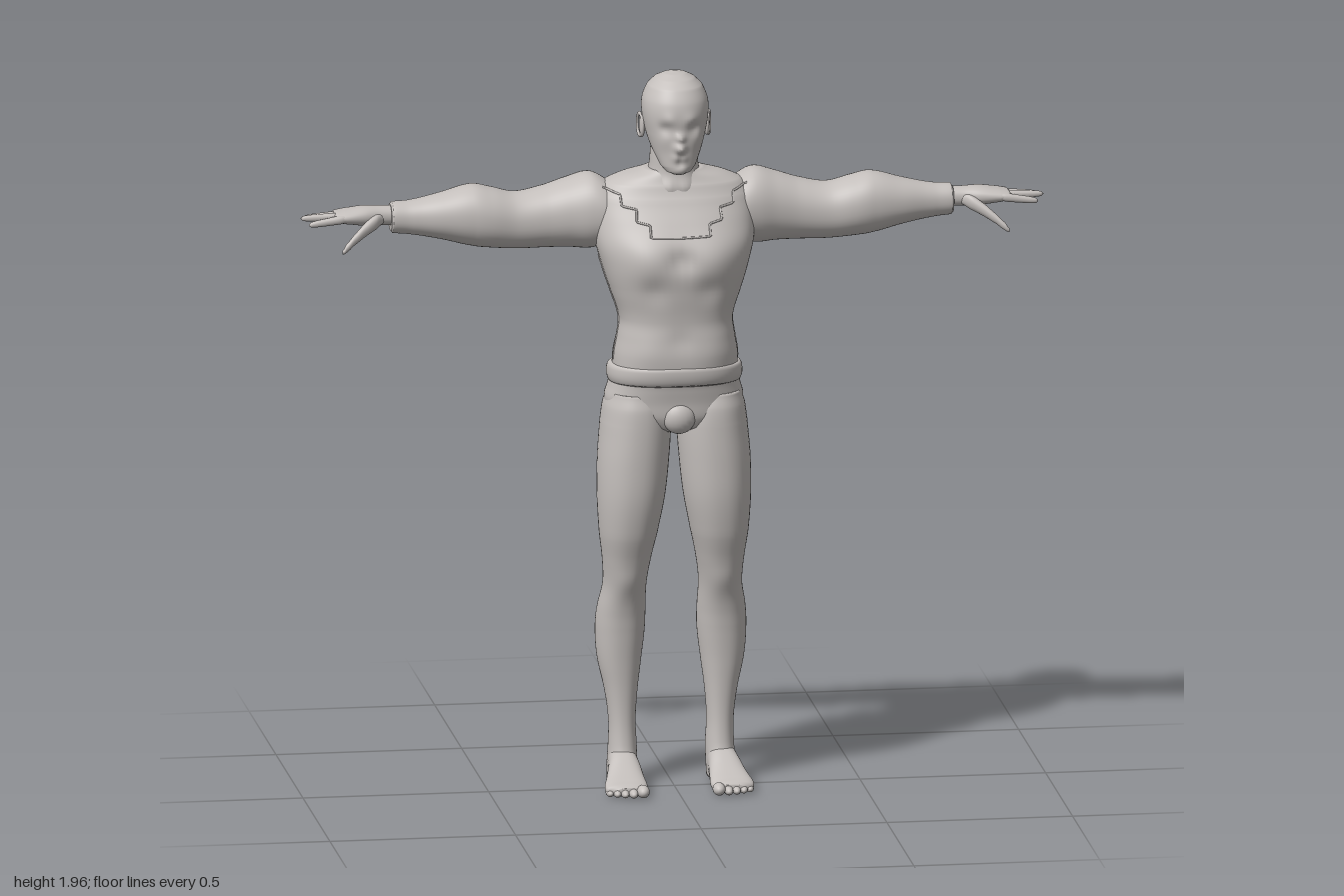
import * as THREE from 'three';

const clay = new THREE.MeshStandardMaterial({ color: 0xc4bfbc });
clay.name = 'warm grey';

// Cubic blend through neighbouring rows, one number at a time
function blend(p, q, r, s, t) {
  return q + 0.5 * t * (r - p + t * (2 * p - 5 * q + 4 * r - s + t * (3 * (q - r) + s - p)));
}

// Smooth skin over rows [s, aMin, aMax, bMin, bMax] along an axis; n squares the section
function loft(rows, axis, { n = 2.2, seg = 48, sub = 6, bumps = [] } = {}) {
  const sorted = [...rows].sort((u, v) => u[0] - v[0]);
  const row = i => sorted[Math.min(Math.max(i, 0), sorted.length - 1)];
  const place = { x: (s, a, b) => [s, a, b], y: (s, a, b) => [a, s, b], z: (s, a, b) => [a, b, s] }[axis];
  const pos = [], index = [], rings = [];
  for (let i = 0; i < sorted.length - 1; i++) {
    for (let k = 0; k < sub; k++) {
      const t = k / sub;
      rings.push(row(i).map((q, c) => c === 0
        ? q + (row(i + 1)[0] - q) * t
        : blend(row(i - 1)[c], q, row(i + 1)[c], row(i + 2)[c], t)));
    }
  }
  rings.push(row(sorted.length));
  const bend = v => Math.sign(v) * Math.abs(v) ** (2 / n);
  for (const [s, a0, a1, b0, b1] of rings) {
    for (let j = 0; j < seg; j++) {
      const w = j / seg * Math.PI * 2;
      pos.push(...place(s, (a0 + a1) / 2 + (a1 - a0) / 2 * bend(Math.cos(w)),
        (b0 + b1) / 2 + (b1 - b0) / 2 * bend(Math.sin(w))));
    }
  }
  const tri = (a, b, c) => axis === 'y' ? index.push(a, c, b) : index.push(a, b, c);
  const last = rings.length - 1, tip = rings.length * seg;
  for (const r of [rings[0], rings[last]]) pos.push(...place(r[0], (r[1] + r[2]) / 2, (r[3] + r[4]) / 2));
  for (let j = 0; j < seg; j++) {
    const k = (j + 1) % seg;
    for (let i = 0; i < last; i++) {
      const p = i * seg, q = p + seg;
      tri(p + j, p + k, q + k);
      tri(p + j, q + k, q + j);
    }
    tri(tip, k, j);
    tri(tip + 1, last * seg + j, last * seg + k);
  }
  // Muscles and facial features: [x, y, z, radius, push along z], same on both sides
  for (let i = 0; i < pos.length; i += 3) {
    let push = 0;
    for (const [x, y, z, r, d] of bumps) {
      const d2 = (Math.abs(pos[i]) - x) ** 2 + (pos[i + 1] - y) ** 2 + (pos[i + 2] - z) ** 2;
      push += d * Math.exp(-d2 / (r * r));
    }
    pos[i + 2] += push;
  }
  const geo = new THREE.BufferGeometry();
  geo.setAttribute('position', new THREE.Float32BufferAttribute(pos, 3));
  geo.setIndex(index);
  geo.computeVertexNormals();
  return geo;
}

function mirror(geo) {
  const g = geo.clone().scale(-1, 1, 1);
  const ix = g.index.array;
  for (let i = 0; i < ix.length; i += 3) [ix[i], ix[i + 1]] = [ix[i + 1], ix[i]];
  g.computeVertexNormals();
  return g;
}

function ball(x, y, z, rx, ry, rz) {
  return new THREE.SphereGeometry(1, 20, 14).scale(rx, ry, rz).translate(x, y, z);
}

// Rows with the same half width on both sides
const even = rows => rows.map(([y, w, z0, z1]) => [y, -w, w, z0, z1]);

export function createModel() {
  const model = new THREE.Group();
  const add = (name, geo) => {
    const m = new THREE.Mesh(geo, clay);
    m.name = name;
    model.add(m);
    return m;
  };
  const pair = (name, geo) => [add(name + 'Left', geo), add(name + 'Right', mirror(geo))];

  // Head with face, and neck
  add('head', loft(even([
    [1.697, 0.018, 0.055, 0.098], [1.704, 0.034, 0.04, 0.108], [1.72, 0.048, 0.015, 0.111],
    [1.76, 0.066, -0.04, 0.111], [1.8, 0.079, -0.075, 0.113], [1.85, 0.088, -0.092, 0.117],
    [1.89, 0.087, -0.094, 0.111], [1.925, 0.073, -0.077, 0.092], [1.945, 0.053, -0.052, 0.067],
    [1.957, 0.03, -0.022, 0.041], [1.962, 0.006, 0.004, 0.014],
  ]), 'y', {
    seg: 80, sub: 8, bumps: [
      [0, 1.772, 0.113, 0.014, 0.024], [0, 1.8, 0.115, 0.012, 0.016], [0.035, 1.826, 0.1, 0.018, -0.011],
      [0.03, 1.848, 0.11, 0.018, 0.005], [0.045, 1.79, 0.09, 0.026, 0.004], [0.011, 1.745, 0.11, 0.012, 0.005],
      [0, 1.728, 0.111, 0.011, -0.005], [0, 1.711, 0.11, 0.018, 0.004],
    ],
  }));
  pair('eye', ball(0.034, 1.828, 0.089, 0.014, 0.008, 0.011));
  pair('ear', ball(0.087, 1.815, 0.002, 0.008, 0.034, 0.018).rotateX(0));
  pair('earRim', new THREE.TorusGeometry(0.02, 0.004, 8, 24).scale(0.8, 1.5, 1)
    .rotateY(Math.PI / 2 - 0.3).translate(0.093, 1.816, 0));
  add('neck', loft(even([
    [1.6, 0.1, -0.12, 0.06], [1.65, 0.085, -0.11, 0.062], [1.69, 0.068, -0.085, 0.055],
    [1.74, 0.063, -0.074, 0.055], [1.8, 0.06, -0.072, 0.05],
  ]), 'y', { bumps: [[0.025, 1.65, 0.06, 0.02, 0.006]] }));

  // Shirt body with chest, stomach and back muscles
  const torso = add('shirtBody', loft(even([
    [1.14, 0.168, -0.122, 0.138], [1.2, 0.166, -0.115, 0.142], [1.25, 0.157, -0.098, 0.139],
    [1.3, 0.153, -0.092, 0.137], [1.38, 0.178, -0.118, 0.147], [1.44, 0.197, -0.14, 0.152],
    [1.5, 0.212, -0.152, 0.143], [1.56, 0.216, -0.155, 0.112], [1.62, 0.21, -0.147, 0.078],
    [1.655, 0.185, -0.13, 0.06], [1.675, 0.14, -0.11, 0.05], [1.695, 0.075, -0.085, 0.045],
  ]), 'y', {
    n: 2.4, seg: 80, bumps: [
      [0.09, 1.47, 0.14, 0.06, 0.012], [0, 1.47, 0.15, 0.03, -0.012], [0.07, 1.385, 0.14, 0.035, -0.006],
      [0, 1.25, 0.14, 0.03, -0.004], [0.09, 1.22, 0.13, 0.05, 0.004],
      [0, 1.25, -0.1, 0.04, 0.012], [0, 1.35, -0.11, 0.04, 0.014], [0, 1.45, -0.14, 0.04, 0.012],
      [0.1, 1.53, -0.15, 0.06, -0.006], [0, 1.58, -0.15, 0.04, 0.008],
    ],
  }));

  // Sleeved arms: shoulder, upper arm, forearm and cuff
  const arms = pair('sleeve', loft([
    [0.13, 1.52, 1.62, -0.11, 0.02], [0.17, 1.49, 1.652, -0.145, 0.04], [0.22, 1.472, 1.676, -0.157, 0.038],
    [0.28, 1.474, 1.66, -0.16, 0.024], [0.34, 1.474, 1.64, -0.154, 0.014], [0.42, 1.474, 1.626, -0.146, 0.012],
    [0.49, 1.48, 1.643, -0.145, 0.02], [0.54, 1.487, 1.652, -0.14, 0.018], [0.62, 1.507, 1.632, -0.125, 0.005],
    [0.7, 1.522, 1.615, -0.108, -0.012], [0.752, 1.528, 1.612, -0.1, -0.016],
    [0.757, 1.534, 1.606, -0.095, -0.02], [0.753, 1.55, 1.595, -0.085, -0.035],
  ].slice(0, 12), 'x'));

  // Hands, fingers and thumbs
  pair('palm', loft([
    [0.73, 1.55, 1.602, -0.088, -0.03], [0.785, 1.55, 1.603, -0.088, -0.026], [0.83, 1.552, 1.604, -0.097, -0.014],
    [0.88, 1.559, 1.597, -0.104, -0.008], [0.905, 1.564, 1.592, -0.1, -0.01], [0.912, 1.57, 1.585, -0.092, -0.018],
  ], 'x', { seg: 32 }));
  [[0.962, -0.092, -0.094, 1.56], [0.99, -0.068, -0.07, 1.573], [1, -0.043, -0.042, 1.578], [0.982, -0.019, -0.013, 1.566]]
    .forEach(([tip, z0, z1, y1], i) => {
      const rows = [[0, 0.009], [0.2, 0.0115], [0.5, 0.0105], [0.8, 0.009], [0.95, 0.0065], [1, 0.001]].map(([t, r]) => {
        const y = 1.579 + (y1 - 1.579) * t, z = z0 + (z1 - z0) * t;
        return [0.875 + (tip - 0.875) * t, y - r, y + r, z - r, z + r];
      });
      pair('finger' + (i + 1), loft(rows, 'x', { seg: 14, sub: 4 }));
    });
  pair('thumb', loft([
    [0.775, 1.56, 1.585, -0.05, -0.03], [0.8, 1.546, 1.586, -0.045, -0.006], [0.835, 1.53, 1.565, -0.02, 0.013],
    [0.865, 1.513, 1.54, 0.003, 0.028], [0.888, 1.497, 1.518, 0.018, 0.038], [0.898, 1.494, 1.504, 0.029, 0.038],
  ], 'x', { seg: 16, sub: 4 }));

  // Belt, dipping slightly towards the back
  add('belt', loft(even([
    [1.112, 0.165, -0.13, 0.118], [1.118, 0.176, -0.143, 0.136], [1.135, 0.181, -0.148, 0.143],
    [1.155, 0.18, -0.146, 0.145], [1.165, 0.175, -0.138, 0.142], [1.17, 0.162, -0.125, 0.13],
  ]), 'y', { n: 2.4, seg: 64, sub: 4 }).applyMatrix4(new THREE.Matrix4().makeShear(0, 0, 0, 0, 0, 0.06)));

  // Hips, with the cleft between the buttocks
  add('hips', loft(even([
    [0.985, 0.06, -0.09, 0.07], [1.0, 0.12, -0.118, 0.092], [1.03, 0.175, -0.133, 0.104],
    [1.07, 0.186, -0.136, 0.108], [1.11, 0.176, -0.133, 0.115], [1.135, 0.17, -0.13, 0.12],
  ]), 'y', { n: 2.4, seg: 64, bumps: [[0, 1.04, -0.14, 0.03, 0.025], [0.08, 1.04, -0.13, 0.05, -0.004]] }));
  add('groin', ball(0, 1.03, 0.088, 0.045, 0.045, 0.034));

  // Legs
  pair('leg', loft([
    [1.09, 0.03, 0.178, -0.12, 0.095], [1.05, 0.015, 0.19, -0.136, 0.105], [1.0, 0.009, 0.197, -0.138, 0.108],
    [0.9, 0.015, 0.205, -0.127, 0.108], [0.8, 0.026, 0.206, -0.12, 0.103], [0.7, 0.045, 0.2, -0.111, 0.085],
    [0.62, 0.062, 0.19, -0.107, 0.058], [0.55, 0.071, 0.187, -0.112, 0.034], [0.48, 0.07, 0.199, -0.134, 0.014],
    [0.42, 0.071, 0.203, -0.145, 0.004], [0.34, 0.08, 0.197, -0.138, -0.005], [0.25, 0.091, 0.178, -0.12, -0.012],
    [0.17, 0.096, 0.168, -0.112, -0.014], [0.1, 0.093, 0.169, -0.118, -0.008],
    [0.05, 0.094, 0.172, -0.126, 0.008], [0.012, 0.096, 0.172, -0.125, 0.01],
  ], 'y', { bumps: [[0.13, 0.57, 0.04, 0.04, 0.006]] }));

  // Bare feet and toes
  pair('foot', loft([
    [-0.13, 0.118, 0.152, 0.015, 0.045], [-0.118, 0.102, 0.166, 0.002, 0.07], [-0.06, 0.096, 0.172, 0, 0.1],
    [0, 0.092, 0.178, 0, 0.092], [0.05, 0.088, 0.19, 0, 0.062], [0.09, 0.085, 0.2, 0, 0.043],
    [0.115, 0.09, 0.196, 0.002, 0.034], [0.125, 0.102, 0.17, 0.006, 0.026],
  ], 'z', { n: 2.5 }));
  [[0.102, 0.128, 0.017], [0.128, 0.127, 0.012], [0.15, 0.12, 0.011], [0.17, 0.111, 0.011], [0.188, 0.1, 0.011]]
    .forEach(([x, z, r], i) => pair('toe' + (i + 1), ball(x, r, z, r, r, 0.027)));

  // Raised seams, laid onto the shirt by casting rays
  model.updateMatrixWorld(true);
  const ray = new THREE.Raycaster();
  const seam = (name, corners, origin, dir) => {
    const pts = [];
    corners.slice(1).forEach((c, i) => {
      for (let k = 0; k < 5; k++) pts.push(corners[i].map((v, m) => v + (c[m] - v) * k / 5));
    });
    pts.push(corners[corners.length - 1]);
    const hits = pts.map(([u, v]) => {
      ray.set(origin(u, v), dir);
      return ray.intersectObjects([torso, ...arms])[0]?.point;
    }).filter(Boolean);
    const path = new THREE.CatmullRomCurve3(hits, false, 'catmullrom', 0.1);
    add(name, new THREE.TubeGeometry(path, 120, 0.003, 6));
  };
  const half = [[0.08, 1.532], [0.08, 1.562], [0.115, 1.57], [0.112, 1.6], [0.15, 1.607], [0.152, 1.635], [0.195, 1.648]];
  const front = [...half.map(([x, y]) => [-x, y]).reverse(), [0, 1.53], ...half];
  seam('steppedNeckline', front, (x, y) => new THREE.Vector3(x, y, 1), new THREE.Vector3(0, 0, -1));
  seam('backYokeSeam', [[-0.23, 1.63], [-0.1, 1.622], [0, 1.61], [0.1, 1.622], [0.23, 1.63]],
    (x, y) => new THREE.Vector3(x, y, -1), new THREE.Vector3(0, 0, 1));
  for (const s of [1, -1]) {
    seam(s > 0 ? 'sideSeamLeft' : 'sideSeamRight', [[0.02, 1.18], [0.02, 1.3], [0.01, 1.4], [-0.01, 1.46]],
      (z, y) => new THREE.Vector3(s, y, z), new THREE.Vector3(-s, 0, 0));
  }
  return model;
}
